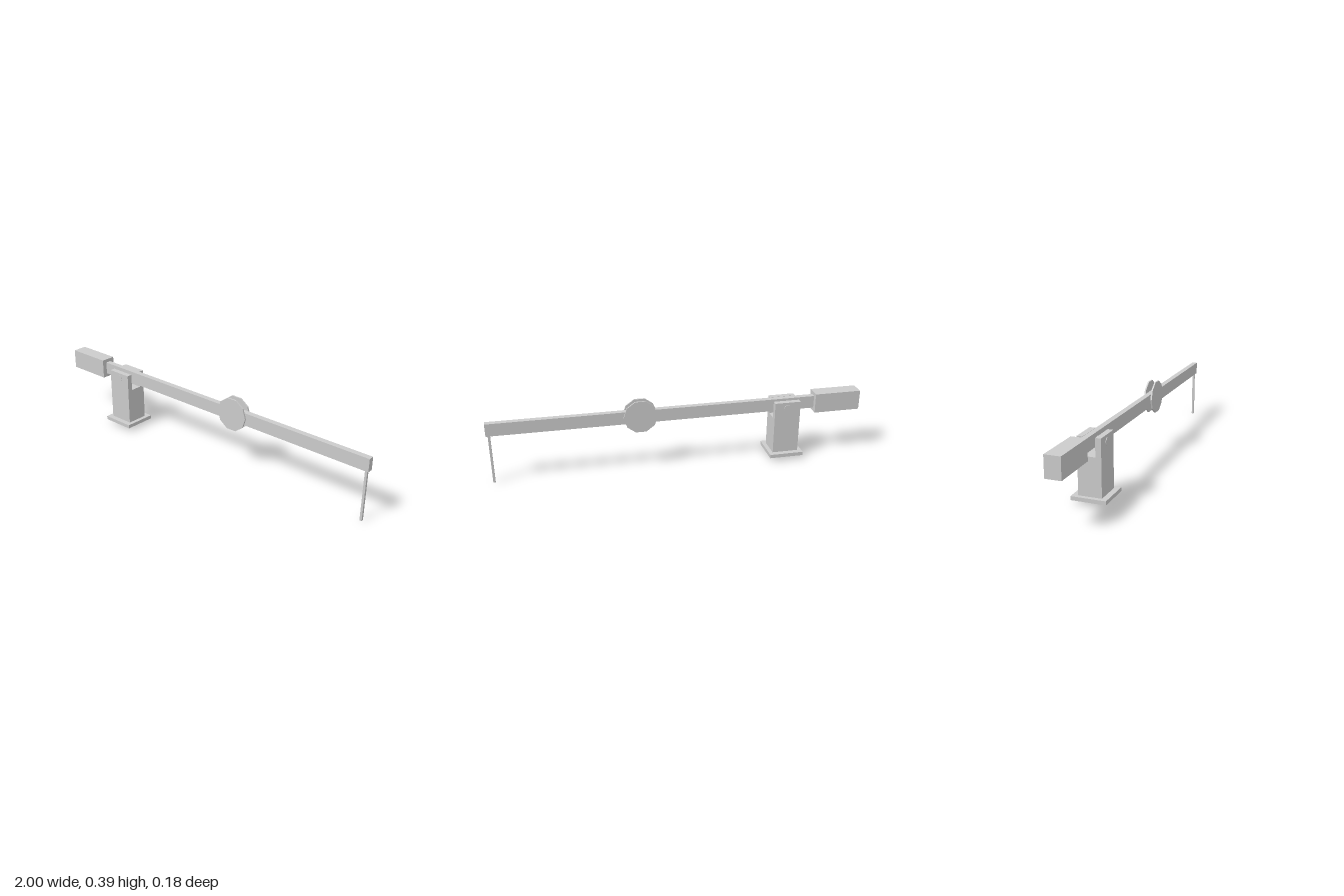
import * as THREE from 'three';

const material = new THREE.MeshStandardMaterial({ color: 0xcccccc, flatShading: true });

function add(group, name, geometry, x = 0, y = 0, z = 0) {
  const mesh = new THREE.Mesh(geometry, material);
  mesh.name = name;
  mesh.position.set(x, y, z);
  group.add(mesh);
  return mesh;
}

// Box given by its lower and upper limits on each axis
function addBox(group, name, [x0, x1], [y0, y1], [z0, z1]) {
  return add(group, name, new THREE.BoxGeometry(x1 - x0, y1 - y0, z1 - z0),
    (x0 + x1) / 2, (y0 + y1) / 2, (z0 + z1) / 2);
}

function rectPoints(w, h) {
  return [[-w, -h], [w, -h], [w, h], [-w, h]].map(([x, y]) => new THREE.Vector2(x, y));
}

export function createModel() {
  const barrier = new THREE.Group();
  barrier.name = 'barrier';
  const postX = -0.583, beamZ = -0.004;

  // Base flange: a square frame around the foot of the post
  const flange = new THREE.Shape(rectPoints(0.093, 0.089));
  flange.holes.push(new THREE.Path(rectPoints(0.071, 0.06)));
  const flangeGeometry = new THREE.ExtrudeGeometry(flange, { depth: 0.02, bevelEnabled: false });
  flangeGeometry.rotateX(-Math.PI / 2);
  add(barrier, 'baseFlange', flangeGeometry, postX, 0.02, 0);

  // Forked post: U profile swept along x
  const fork = new THREE.Shape([
    [-0.06, 0.038], [0.06, 0.038], [0.06, 0.33], [0.031, 0.33],
    [0.031, 0.237], [-0.031, 0.237], [-0.031, 0.33], [-0.06, 0.33],
  ].map(([z, y]) => new THREE.Vector2(z, y)));
  const postGeometry = new THREE.ExtrudeGeometry(fork, { depth: 0.142, bevelEnabled: false });
  postGeometry.translate(0, 0, -0.071).rotateY(Math.PI / 2);
  add(barrier, 'post', postGeometry, postX, 0, 0);

  // Pivot pin through the fork
  const pinGeometry = new THREE.CylinderGeometry(0.02, 0.02, 0.125, 12).rotateX(Math.PI / 2);
  add(barrier, 'pivotPin', pinGeometry, postX, 0.297, 0);

  // Swinging arm with counterweight and hanging support leg
  addBox(barrier, 'beam', [-0.76, 1], [0.27, 0.338], [beamZ - 0.015, beamZ + 0.015]);
  addBox(barrier, 'counterweight', [-1, -0.745], [0.25, 0.357], [beamZ - 0.04, beamZ + 0.04]);
  addBox(barrier, 'supportLeg', [0.978, 0.99], [0, 0.272], [beamZ - 0.006, beamZ + 0.006]);

  // Ten-sided sign disc on each face of the beam
  for (const side of [1, -1]) {
    const disc = new THREE.CylinderGeometry(0.09, 0.09, 0.008, 10);
    disc.rotateY(Math.PI / 2).rotateX(Math.PI / 2);
    add(barrier, side > 0 ? 'frontDisc' : 'backDisc', disc, 0.21, 0.307, beamZ + side * 0.019);
  }

  return barrier;
}
